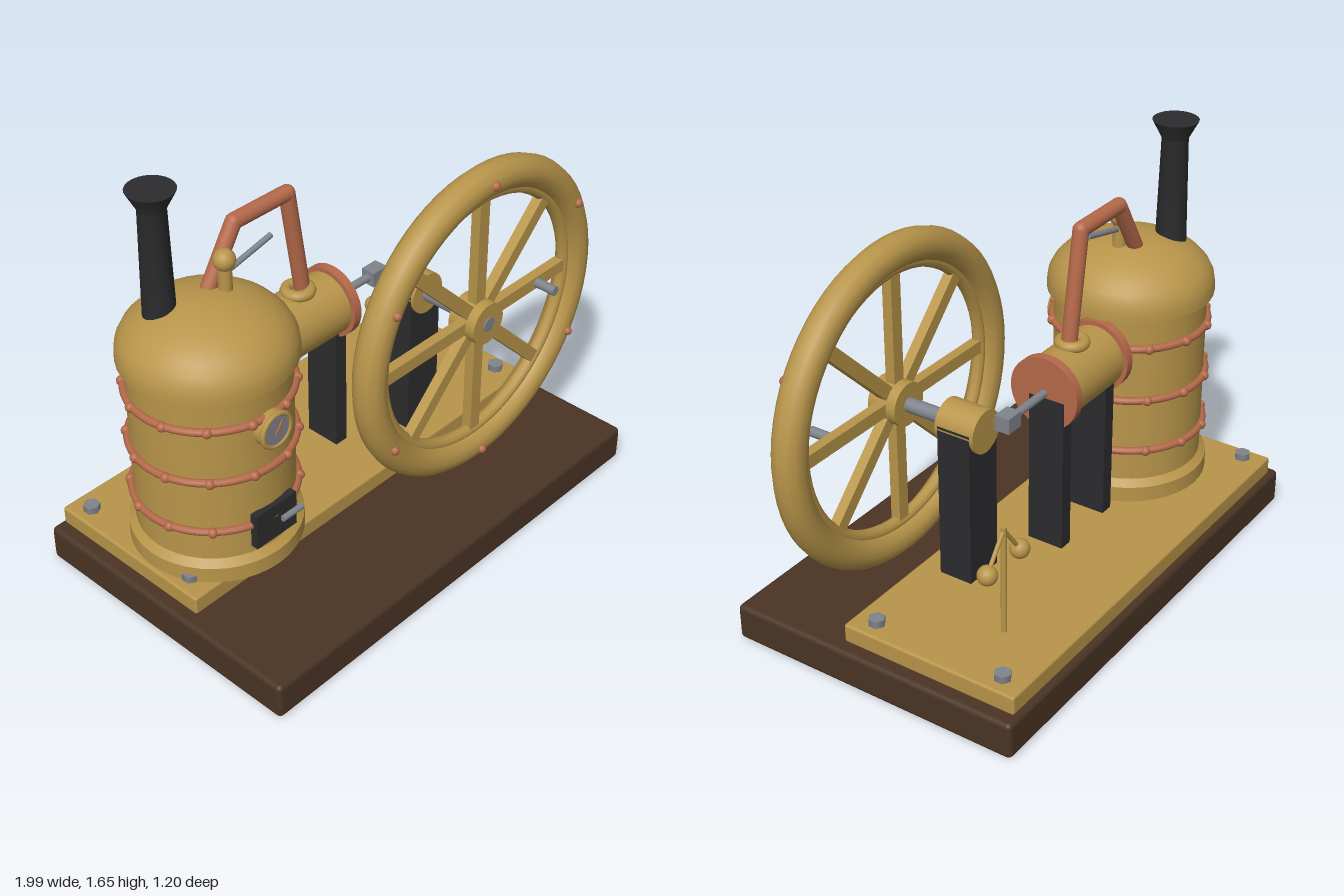
import * as THREE from 'three';
import { RoundedBoxGeometry } from 'three/addons/geometries/RoundedBoxGeometry.js';
import { toCreasedNormals } from 'three/addons/utils/BufferGeometryUtils.js';

const mat = (name, color) => {
  const m = new THREE.MeshStandardMaterial({ color });
  m.name = name;
  return m;
};

export function createModel() {
  const model = new THREE.Group();
  model.name = 'steamEngine';
  const brass = mat('brass', 0xb8954a);
  const copper = mat('copper', 0xb5694a);
  const steel = mat('steel', 0x7f838b);
  const iron = mat('iron', 0x2c2c2e);
  const wood = mat('wood', 0x4a3424);

  // Helpers
  const add = (name, geo, material, pos = [0, 0, 0], parent = model) => {
    const m = new THREE.Mesh(geo, material);
    m.name = name;
    m.position.set(...pos);
    parent.add(m);
    return m;
  };
  const group = (name, pos) => {
    const g = new THREE.Group();
    g.name = name;
    g.position.set(...pos);
    model.add(g);
    return g;
  };
  const box = (name, size, material, pos, parent) =>
    add(name, new THREE.BoxGeometry(...size), material, pos, parent);
  const ball = (name, r, material, pos, parent) =>
    add(name, new THREE.SphereGeometry(r, 16, 12), material, pos, parent);
  const rod = (name, a, b, r, material, parent, r2 = r, sides = 20) => {
    const p = new THREE.Vector3(...a), q = new THREE.Vector3(...b);
    const dir = q.clone().sub(p);
    const m = add(name, new THREE.CylinderGeometry(r2, r, dir.length(), sides), material,
      p.clone().add(q).multiplyScalar(0.5).toArray(), parent);
    m.quaternion.setFromUnitVectors(new THREE.Vector3(0, 1, 0), dir.normalize());
    return m;
  };
  const lathe = (points, sides = 40) => toCreasedNormals(
    new THREE.LatheGeometry(points.map(([r, y]) => new THREE.Vector2(r, y)), sides), 0.55);

  // Wooden base, brass bed plate and its corner bolts
  add('woodenBase', new RoundedBoxGeometry(1.93, 0.145, 1.2, 3, 0.02), wood, [-0.035, 0.0725, 0]);
  add('bedPlate', new RoundedBoxGeometry(1.83, 0.075, 0.72, 2, 0.01), brass, [-0.035, 0.185, -0.22]);
  for (const x of [-0.885, 0.812]) for (const z of [-0.49, 0.045]) {
    rod('bedBolt', [x, 0.22, z], [x, 0.25, z], 0.032, steel, model, 0.032, 6);
  }

  // Boiler with a domed top
  const boiler = group('boiler', [-0.615, 0, -0.1]);
  add('boilerShell', lathe([[0, 0.222], [0.32, 0.222], [0.32, 0.285], [0.293, 0.31],
    [0.293, 1.0]]), brass, undefined, boiler);
  const dome = [[0.29, 1.0], [0.32, 1.0], [0.32, 1.03]];
  for (let i = 1; i <= 8; i++) {
    const a = (i / 8) * Math.PI / 2;
    dome.push([i === 8 ? 0 : 0.32 * Math.cos(a), 1.03 + 0.188 * Math.sin(a)]);
  }
  add('boilerDome', lathe(dome), brass, undefined, boiler);

  // Riveted copper bands
  for (const y of [0.44, 0.66, 0.88]) {
    const band = add('boilerBand', new THREE.TorusGeometry(0.299, 0.015, 10, 48), copper, [0, y, 0], boiler);
    band.rotation.x = Math.PI / 2;
    for (let i = 0; i < 12; i++) {
      const a = (i + 0.5) * Math.PI / 6;
      ball('bandRivet', 0.019, copper, [0.304 * Math.sin(a), y, 0.304 * Math.cos(a)], boiler);
    }
  }

  // Pressure gauge
  const gauge = group('pressureGauge', [-0.615, 0.83, 0.19]);
  rod('gaugeCase', [0, 0, -0.01], [0, 0, 0.035], 0.07, brass, gauge, 0.07, 28);
  add('gaugeRim', new THREE.TorusGeometry(0.065, 0.01, 8, 28), brass, [0, 0, 0.035], gauge);
  rod('gaugeFace', [0, 0, 0.03], [0, 0, 0.039], 0.059, steel, gauge, 0.059, 28);
  box('gaugeNeedle', [0.008, 0.06, 0.006], copper, [0.01, 0.01, 0.041], gauge).rotation.z = -0.6;

  // Firebox door
  box('fireDoor', [0.195, 0.145, 0.03], iron, [-0.615, 0.418, 0.198]);
  rod('doorHandle', [-0.595, 0.418, 0.222], [-0.5, 0.418, 0.222], 0.012, steel);

  // Chimney
  add('chimney', lathe([[0, 1.1], [0.061, 1.1], [0.05, 1.585], [0.087, 1.655], [0, 1.655]], 24),
    iron, [-0.735, 0, -0.198]);

  // Safety valve and lever
  rod('valveStem', [-0.52, 1.17, -0.1], [-0.52, 1.31, -0.1], 0.025, brass);
  ball('valveBall', 0.041, brass, [-0.52, 1.325, -0.1]);
  rod('valveLever', [-0.52, 1.272, -0.1], [-0.3, 1.322, -0.1], 0.011, steel);

  // Steam pipe from the dome to the cylinder
  const cz = -0.15;
  const path = [[-0.58, 1.16, cz], [-0.425, 1.412, cz], [-0.17, 1.412, cz], [-0.1, 0.96, cz]];
  path.slice(1).forEach((p, i) => {
    rod('steamPipe', path[i], p, 0.03, copper);
    if (i < 2) ball('pipeElbow', 0.03, copper, p);
  });
  const collar = add('pipeCollar', new THREE.TorusGeometry(0.045, 0.022, 10, 28), brass, [-0.125, 0.985, cz]);
  collar.rotation.x = Math.PI / 2;

  // Engine cylinder, end flanges and supports
  const cy = 0.857;
  rod('engineCylinder', [-0.3, cy, cz], [0.04, cy, cz], 0.124, brass, model, 0.124, 36);
  for (const x of [-0.302, 0.042]) {
    rod('cylinderFlange', [x - 0.018, cy, cz], [x + 0.018, cy, cz], 0.142, copper, model, 0.142, 36);
  }
  for (const x of [-0.252, 0.036]) box('cylinderSupport', [0.056, 0.62, 0.148], iron, [x, 0.53, -0.164]);

  // Piston rod and crosshead
  rod('pistonRod', [0.04, cy, cz], [0.26, cy, cz], 0.016, steel);
  box('crosshead', [0.076, 0.06, 0.06], steel, [0.285, 0.855, cz]);

  // Crankshaft pedestal, bearing and shaft
  const wx = 0.353, wy = 0.828, wz = 0.292;
  box('bearingPedestal', [0.165, 0.62, 0.136], iron, [wx, 0.53, -0.022]);
  rod('shaftBearing', [wx, wy, -0.105], [wx, wy, 0.058], 0.083, brass, model, 0.083, 20);
  rod('crankshaft', [wx, wy, -0.1], [wx, wy, 0.358], 0.028, steel);

  // Flywheel
  const wheel = group('flywheel', [wx, wy, wz]);
  add('flywheelRim', new THREE.TorusGeometry(0.578, 0.063, 12, 64), brass, undefined, wheel);
  add('flywheelInnerRing', new THREE.TorusGeometry(0.517, 0.026, 10, 64), brass, undefined, wheel);
  rod('flywheelHub', [0, 0, -0.06], [0, 0, 0.06], 0.084, brass, wheel, 0.084, 28);
  for (let i = 0; i < 4; i++) {
    box('flywheelSpokes', [1.04, 0.052, 0.04], brass, undefined, wheel).rotation.z = i * Math.PI / 4;
  }
  for (let i = 0; i < 6; i++) {
    const a = Math.PI / 6 + i * Math.PI / 3;
    ball('rimRivet', 0.018, copper, [0.585 * Math.cos(a), 0.585 * Math.sin(a), 0.06], wheel);
  }
  rod('turningHandle', [0.338, 0, 0], [0.338, 0, 0.108], 0.019, steel, wheel);

  // Two-ball governor
  const governor = group('governor', [0.595, 0, -0.345]);
  rod('governorSpindle', [0, 0.22, 0], [0, 0.655, 0], 0.011, brass, governor);
  for (const s of [-1, 1]) {
    rod('governorArm', [0, 0.645, 0], [s * 0.097, 0.515, 0], 0.008, brass, governor);
    ball('governorBall', 0.037, brass, [s * 0.097, 0.515, 0], governor);
  }

  return model;
}
